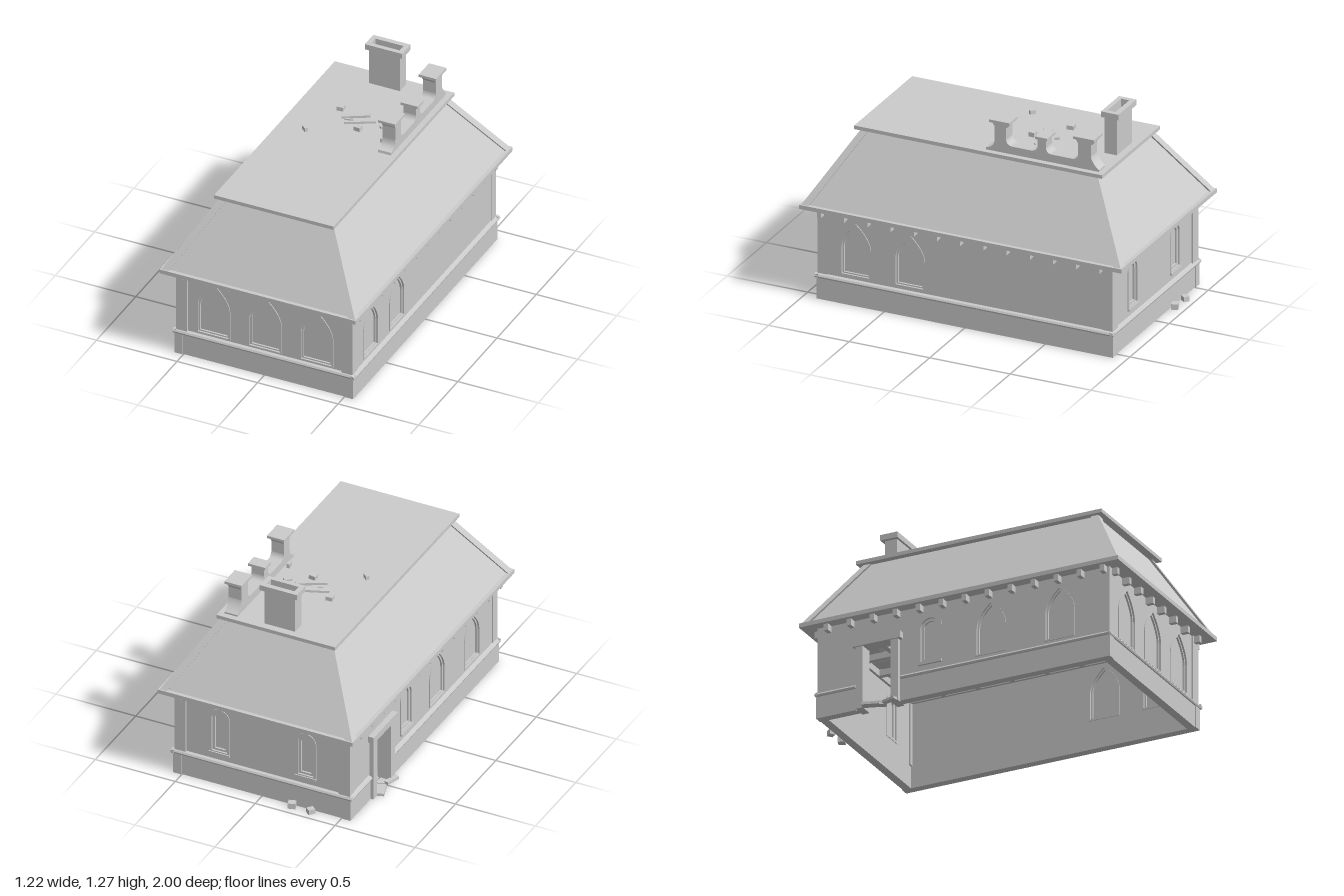
import * as THREE from 'three';

const mat = new THREE.MeshStandardMaterial({ color: 0xcccccc, flatShading: true, side: THREE.DoubleSide });
const T = 0.04; // wall thickness
const EAVE = 0.555;

function add(parent, name, geo, x = 0, y = 0, z = 0, ry = 0, rz = 0) {
  const m = new THREE.Mesh(geo, mat);
  m.name = name;
  m.position.set(x, y, z);
  m.rotation.set(0, ry, rz);
  parent.add(m);
  return m;
}

// Box given by its min and max corners
function span(parent, name, x0, x1, y0, y1, z0, z1) {
  return add(parent, name, new THREE.BoxGeometry(x1 - x0, y1 - y0, z1 - z0),
    (x0 + x1) / 2, (y0 + y1) / 2, (z0 + z1) / 2);
}

const extrude = (shape, depth) =>
  new THREE.ExtrudeGeometry(shape, { depth, bevelEnabled: false, curveSegments: 8 });

// Solid between two rectangles [x0, x1, z0, z1] at heights y0 and y1
function frustum(a, b, y0, y1) {
  const ring = ([x0, x1, z0, z1], y) => [[x0, y, z1], [x1, y, z1], [x1, y, z0], [x0, y, z0]];
  const g = new THREE.BufferGeometry();
  g.setAttribute('position', new THREE.Float32BufferAttribute([...ring(a, y0), ...ring(b, y1)].flat(), 3));
  const idx = [4, 5, 6, 4, 6, 7, 0, 2, 1, 0, 3, 2];
  for (let i = 0; i < 4; i++) {
    const j = (i + 1) % 4;
    idx.push(i, j, j + 4, i, j + 4, i + 4);
  }
  g.setIndex(idx);
  const flat = g.toNonIndexed();
  flat.computeVertexNormals();
  return flat;
}

// Window outline, pointed or round, shrunk by inset d
function arch(w, d, PathType = THREE.Shape) {
  const p = new PathType();
  const h = w.half - d, x = w.x, y0 = w.y0 + d * 0.8, top = w.top - d * (w.round ? 1 : 1.3);
  const spring = w.round ? top - h : w.spring;
  p.moveTo(x - h, y0);
  p.lineTo(x + h, y0);
  p.lineTo(x + h, spring);
  if (w.round) p.absarc(x, spring, h, 0, Math.PI, false);
  else {
    const rise = top - spring;
    p.bezierCurveTo(x + h, spring + rise * 0.35, x + h * 0.55, spring + rise * 0.72, x, top);
    p.bezierCurveTo(x - h * 0.55, spring + rise * 0.72, x - h, spring + rise * 0.35, x - h, spring);
  }
  p.lineTo(x - h, y0);
  return p;
}

function frame(parent, name, w, d0, d1, z0, z1) {
  const s = arch(w, d0);
  s.holes.push(arch(w, d1, THREE.Path));
  add(parent, name, extrude(s, z1 - z0), 0, 0, z0);
}

// One wall in its own plane: outer face at z = 0, cut for windows and door
function wall(root, name, half, dist, ry, windows, corbels, door) {
  const g = new THREE.Group();
  g.name = name;
  g.rotation.y = ry;
  g.position.set(Math.sin(ry) * dist, 0, Math.cos(ry) * dist);
  root.add(g);

  const s = new THREE.Shape();
  s.moveTo(-half, 0);
  if (door) {
    s.lineTo(door.x0, 0);
    s.lineTo(door.x0, door.h);
    s.lineTo(door.x1, door.h);
    s.lineTo(door.x1, 0);
  }
  s.lineTo(half, 0);
  s.lineTo(half, EAVE);
  s.lineTo(-half, EAVE);
  for (const w of windows) s.holes.push(arch(w, 0.004, THREE.Path));
  add(g, 'wallPanel', extrude(s, T), 0, 0, -T);

  // Stepped surrounds and panes, on both faces
  for (const w of windows) {
    const step = w.round ? 0.016 : 0.01;
    frame(g, 'windowSurround', w, 0, step, -T - 0.004, 0.005);
    frame(g, 'windowFrame', w, step, step * 2, -T + 0.006, -0.006);
    add(g, 'windowPane', extrude(arch(w, step * 2), 0.006), 0, 0, -T / 2 - 0.003);
    if (w.round) span(g, 'windowSill', w.x - w.half, w.x + w.half, w.y0 - 0.008, w.y0 + 0.006, -T, 0.012);
  }

  // Plinth and moulding, broken at the door
  const runs = door ? [[-half - 0.01, door.x0 - 0.03], [door.x1 + 0.03, half + 0.01]] : [[-half - 0.01, half + 0.01]];
  const profile = new THREE.Shape([[0, 0.132], [-0.018, 0.132], [-0.022, 0.142], [-0.016, 0.152], [0, 0.157]]
    .map(([x, y]) => new THREE.Vector2(x, y)));
  for (const [a, b] of runs) {
    span(g, 'plinth', a, b, 0, 0.135, -T, 0.01);
    add(g, 'moulding', extrude(profile, b - a + (door ? 0 : 0.02)), a - (door ? 0 : 0.01), 0, 0, Math.PI / 2);
  }
  for (const x of corbels) span(g, 'corbel', x - 0.013, x + 0.013, 0.515, EAVE, -0.005, 0.045);
  return g;
}

export function createModel() {
  const root = new THREE.Group();
  root.name = 'house';

  // Walls
  const pointed = (x, half = 0.096, y0 = 0.175, top = 0.5) => ({ x, half, y0, top, spring: 0.345 });
  const round = (x, half) => ({ x, half, y0: 0.2, top: 0.49, round: true });
  const endCorbels = [-0.505, -0.36, -0.215, -0.07, 0.07, 0.215, 0.36, 0.505];
  const sideCorbels = Array.from({ length: 13 }, (_, i) => 0.887 - i * 0.144);
  const front = wall(root, 'frontWall', 0.545, 0.905, 0,
    [-0.32, 0, 0.32].map(x => pointed(x, 0.105, 0.165, 0.51)), endCorbels);
  const back = wall(root, 'backWall', 0.545, 0.905, Math.PI, [round(-0.27, 0.065), round(0.27, 0.065)], endCorbels);
  wall(root, 'rightWall', 0.91, 0.545, Math.PI / 2, [pointed(-0.68), pointed(-0.345)], sideCorbels.map(z => -z));
  const door = { x0: -0.64, x1: -0.42, h: 0.38 };
  const left = wall(root, 'leftWall', 0.91, 0.545, -Math.PI / 2,
    [pointed(0.6), pointed(0.17), round(-0.21, 0.075)], sideCorbels, door);
  for (const g of [front, back]) for (const s of [-1, 1])
    add(g, 'cornerPilaster', new THREE.BoxGeometry(0.07, 0.42, 0.06), s * 0.514, 0.345, -0.02);

  // Door surround
  for (const x of [door.x0, door.x1])
    span(left, 'doorPost', x - 0.025, x + 0.02, 0, 0.39, -0.06, 0.025);
  span(left, 'doorLintel', door.x0 - 0.04, door.x1 + 0.04, 0.38, 0.42, -0.05, 0.035);

  // Eaves and coffered ceiling
  span(root, 'eaves', -0.61, 0.61, EAVE, 0.58, -1, 1);
  const nx = 5, nz = 8, cx = 1.01 / nx, cz = 1.73 / nz;
  for (let i = 0; i <= nx; i++) span(root, 'ceilingBeam', -0.52 + i * cx, -0.49 + i * cx, 0.515, EAVE, -0.865, 0.865);
  for (let k = 0; k <= nz; k++) span(root, 'ceilingBeam', -0.505, 0.505, 0.515, EAVE, -0.88 + k * cz, -0.85 + k * cz);
  for (let i = 0; i < nx; i++) for (let k = 0; k < nz; k++) {
    const x = -0.505 + (i + 0.5) * cx, z = -0.865 + (k + 0.5) * cz;
    add(root, 'ceilingPanel', frustum([x - 0.045, x + 0.045, z - 0.05, z + 0.05],
      [x - 0.075, x + 0.075, z - 0.08, z + 0.08], 0.53, EAVE));
  }

  // Mansard roof with raised hips and a flat deck
  add(root, 'roofSlopes', frustum([-0.588, 0.588, -0.978, 0.978], [-0.338, 0.332, -0.71, 0.728], 0.578, 0.99));
  for (const sx of [-1, 1]) for (const sz of [-1, 1]) {
    const square = (x, z, w) => [Math.min(x, x - sx * w), Math.max(x, x - sx * w), Math.min(z, z - sz * w), Math.max(z, z - sz * w)];
    add(root, 'roofHip', frustum(square(sx * 0.602, sz * 0.992, 0.046),
      square(sx * 0.348 - 0.003, sz * 0.733 + 0.009, 0.046), 0.578, 0.992));
  }
  span(root, 'roofDeck', -0.378, 0.364, 0.988, 1.01, -0.76, 0.778);

  // Large hollow chimney
  const tube = (name, x0, x1, z0, z1, y0, y1) => {
    const rect = (P, a, b, c, d) => new P([[a, c], [b, c], [b, d], [a, d]].map(([x, z]) => new THREE.Vector2(x, -z)));
    const s = rect(THREE.Shape, x0, x1, z0, z1);
    s.holes.push(rect(THREE.Path, -0.098, 0.076, -0.705, -0.655));
    add(root, name, extrude(s, y1 - y0), 0, y0, 0).rotation.x = -Math.PI / 2;
  };
  tube('chimneyStack', -0.107, 0.085, -0.717, -0.641, 1.0, 1.24);
  tube('chimneyCap', -0.127, 0.105, -0.736, -0.628, 1.236, 1.27);
  span(root, 'chimneyFloor', -0.1, 0.08, 1.0, 1.15, -0.71, -0.65);

  // Parapet of three piers with curved shoulders
  const p = new THREE.Shape();
  p.moveTo(0.02, 1.0);
  p.lineTo(0.025, 1.025);
  p.quadraticCurveTo(0.075, 1.03, 0.078, 1.08);
  const pier = (a, b, top, flare) => {
    p.lineTo(a, top - flare * 1.5);
    p.lineTo(a - flare, top);
    p.lineTo(b + flare, top);
    p.lineTo(b, top - flare * 1.5);
    p.lineTo(b, 1.09);
  };
  pier(0.078, 0.148, 1.19, 0.02);
  p.quadraticCurveTo(0.155, 1.058, 0.19, 1.058);
  p.lineTo(0.305, 1.058);
  p.quadraticCurveTo(0.34, 1.06, 0.345, 1.09);
  pier(0.345, 0.395, 1.14, 0.005);
  p.quadraticCurveTo(0.4, 1.06, 0.43, 1.058);
  p.lineTo(0.56, 1.058);
  p.quadraticCurveTo(0.59, 1.06, 0.595, 1.09);
  pier(0.595, 0.675, 1.19, 0.02);
  p.quadraticCurveTo(0.685, 1.05, 0.725, 1.02);
  p.lineTo(0.725, 1.0);
  add(root, 'parapet', extrude(p, 0.08), 0.25, 0, 0, Math.PI / 2);
  for (const [z0, z1, y] of [[-0.175, -0.048, 1.188], [-0.41, -0.335, 1.14], [-0.7, -0.57, 1.188]])
    span(root, 'pierCap', 0.236, 0.344, y, y + 0.016, z0, z1);

  // Loose planks and rubble: x, y, z, width, height, depth, turn
  const debris = [
    [-0.02, 1.018, -0.295, 0.16, 0.014, 0.03, 0.45], [0.03, 1.018, -0.245, 0.18, 0.014, 0.014, 0.5],
    [-0.13, 1.022, -0.33, 0.04, 0.024, 0.04, 0.1], [0.05, 1.022, -0.18, 0.04, 0.026, 0.035, -0.1],
    [-0.215, 1.022, -0.048, 0.035, 0.024, 0.02, -0.7], [0.168, 1.017, -0.265, 0.045, 0.014, 0.025, 0.8],
    [0.197, 1.018, -0.43, 0.02, 0.016, 0.1, 0.12], [0.225, 1.022, -0.135, 0.02, 0.028, 0.035, 0.1],
    [-0.04, 1.014, -0.25, 0.05, 0.008, 0.01, 0.2],
    [-0.2, 0.017, -0.94, 0.045, 0.034, 0.04, 0.3], [-0.32, 0.015, -0.945, 0.04, 0.03, 0.035, 0.9],
    [-0.57, 0.008, -0.57, 0.05, 0.016, 0.1, 0.3], [-0.575, 0.008, -0.45, 0.03, 0.016, 0.09, -0.3],
    [-0.54, 0.012, -0.51, 0.04, 0.024, 0.04, 0.5],
  ];
  debris.forEach(([x, y, z, w, h, d, ry], i) =>
    add(root, 'rubble', new THREE.BoxGeometry(w, h, d), x, y, z, ry, i < 9 && i % 3 === 0 ? 0.05 : 0));
  return root;
}
